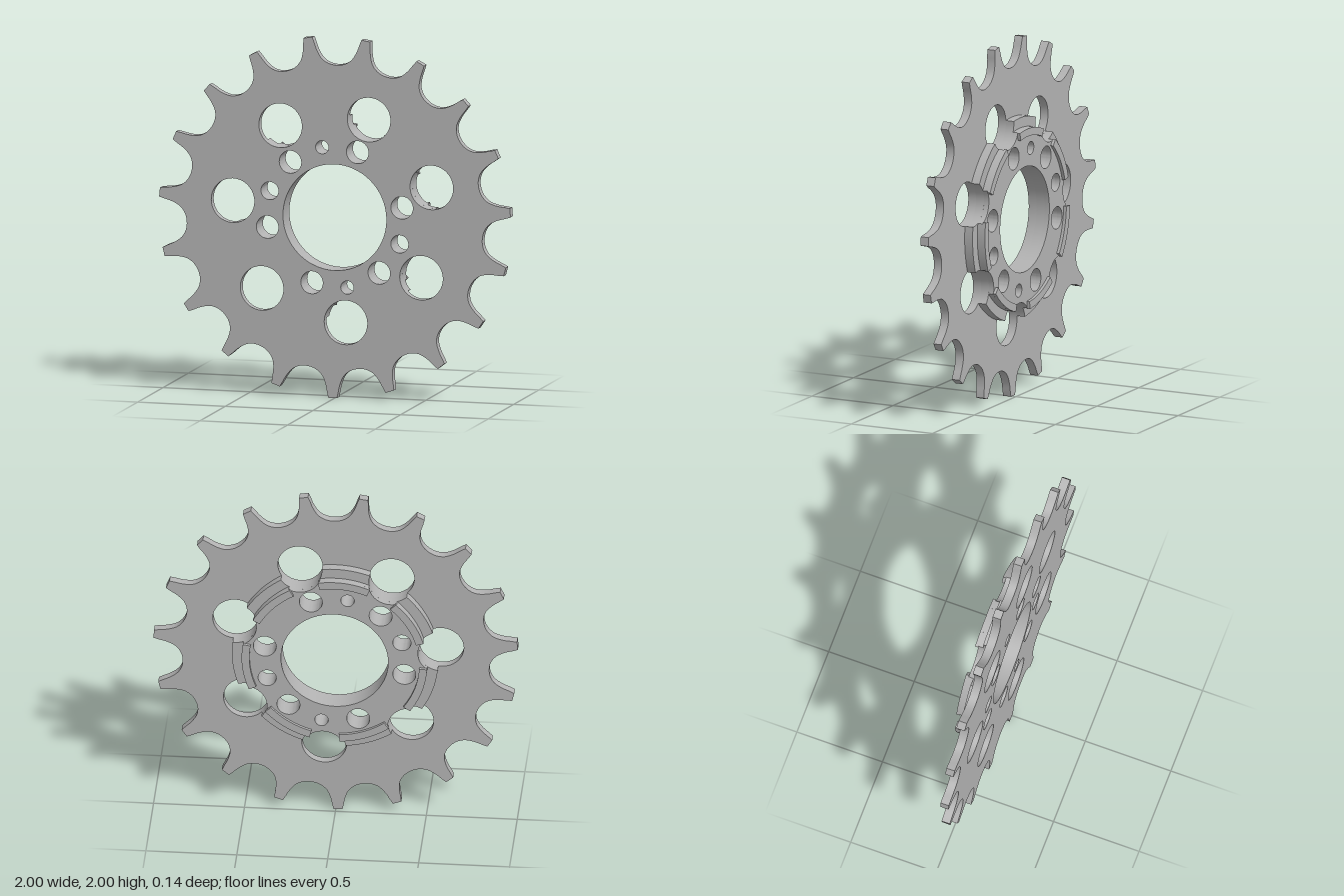
import * as THREE from 'three';
import { toCreasedNormals } from 'three/addons/utils/BufferGeometryUtils.js';

const TEETH = 19, LOBES = 7;
const START = THREE.MathUtils.degToRad(70.5); // first bolt and lightening hole
const HOLE_D = 0.585, HOLE_R = 0.123;         // large lightening holes
const BORE = 0.295, CENTRE_Y = 1.004;

const polar = (r, a) => new THREE.Vector2(r * Math.cos(a), r * Math.sin(a));

function circleHole(r, c = new THREE.Vector2(), n = 48) {
  const pts = [];
  for (let i = 0; i < n; i++) pts.push(polar(r, -i / n * Math.PI * 2).add(c));
  return new THREE.Path(pts);
}

// Bore, six bolt holes and four pin holes, shared by every layer
function addHubHoles(shape) {
  shape.holes.push(circleHole(BORE, undefined, 96));
  for (let k = 0; k < 6; k++) {
    shape.holes.push(circleHole(0.063, polar(0.39, START + k * Math.PI / 3)));
  }
  for (const [deg, r] of [[100.5, 0.037], [160.5, 0.05], [280.5, 0.037], [340.5, 0.05]]) {
    shape.holes.push(circleHole(r, polar(0.393, THREE.MathUtils.degToRad(deg)), 32));
  }
}

// Toothed outline: one smooth valley swept round, flat tips between
function toothedShape() {
  const half = [[0.141, 0.994], [0.129, 0.965], [0.114, 0.925], [0.086, 0.88], [0.046, 0.854]];
  const valley = [
    ...half.map(([s, r]) => new THREE.Vector2(-s, r)),
    new THREE.Vector2(0, 0.846),
    ...half.slice().reverse().map(([s, r]) => new THREE.Vector2(s, r)),
  ];
  const curve = new THREE.SplineCurve(valley).getPoints(30).reverse();
  const pts = [];
  for (let k = 0; k < TEETH; k++) {
    const a = THREE.MathUtils.degToRad(-0.7) + k / TEETH * Math.PI * 2;
    for (const p of curve) pts.push(p.clone().rotateAround(new THREE.Vector2(), a));
  }
  return new THREE.Shape(pts);
}

// Disc whose rim is scalloped by the large holes
function lobedShape(R) {
  const a = Math.acos((R * R + HOLE_D ** 2 - HOLE_R ** 2) / (2 * R * HOLE_D));
  const phi = Math.atan2(R * Math.sin(a), R * Math.cos(a) - HOLE_D);
  const step = Math.PI * 2 / LOBES, pts = [];
  for (let k = 0; k < LOBES; k++) {
    const h = START + k * step, c = polar(HOLE_D, h), sweep = 2 * Math.PI - 2 * phi;
    for (let i = 0; i <= 20; i++) pts.push(polar(HOLE_R, h - phi - sweep * i / 20).add(c));
    for (let i = 1; i < 12; i++) pts.push(polar(R, h + a + (step - 2 * a) * i / 12));
  }
  return new THREE.Shape(pts);
}

function arcShape(r0, r1, mid, half) {
  const pts = [];
  for (let i = 0; i <= 14; i++) pts.push(polar(r1, mid - half + 2 * half * i / 14));
  for (let i = 14; i >= 0; i--) pts.push(polar(r0, mid - half + 2 * half * i / 14));
  return new THREE.Shape(pts);
}

export function createModel() {
  const model = new THREE.Group();
  model.name = 'sprocket';
  const steel = new THREE.MeshStandardMaterial({ color: 0xb3b3b3 });
  steel.name = 'grey steel';

  const addLayer = (name, shape, z0, z1) => {
    const geo = new THREE.ExtrudeGeometry(shape, { depth: z1 - z0, bevelEnabled: false });
    const mesh = new THREE.Mesh(toCreasedNormals(geo, 0.5), steel);
    mesh.name = name;
    mesh.position.set(0, CENTRE_Y, z0);
    model.add(mesh);
  };

  // Toothed front plate
  const plate = toothedShape();
  addHubHoles(plate);
  for (let k = 0; k < LOBES; k++) {
    plate.holes.push(circleHole(HOLE_R, polar(HOLE_D, START + k / LOBES * Math.PI * 2), 64));
  }
  addLayer('toothedPlate', plate, 0.024, 0.072);

  // Two stepped hub layers behind it
  const flange = lobedShape(0.567);
  addHubHoles(flange);
  addLayer('hubFlange', flange, -0.025, 0.024);

  const hub = lobedShape(0.51);
  addHubHoles(hub);
  addLayer('hubBoss', hub, -0.055, -0.025);

  // Raised rim segment on each lobe
  for (let k = 0; k < LOBES; k++) {
    const mid = START + (k + 0.5) / LOBES * Math.PI * 2;
    addLayer('rimLip' + (k + 1), arcShape(0.467, 0.51, mid, 0.285), -0.072, -0.055);
  }
  return model;
}
